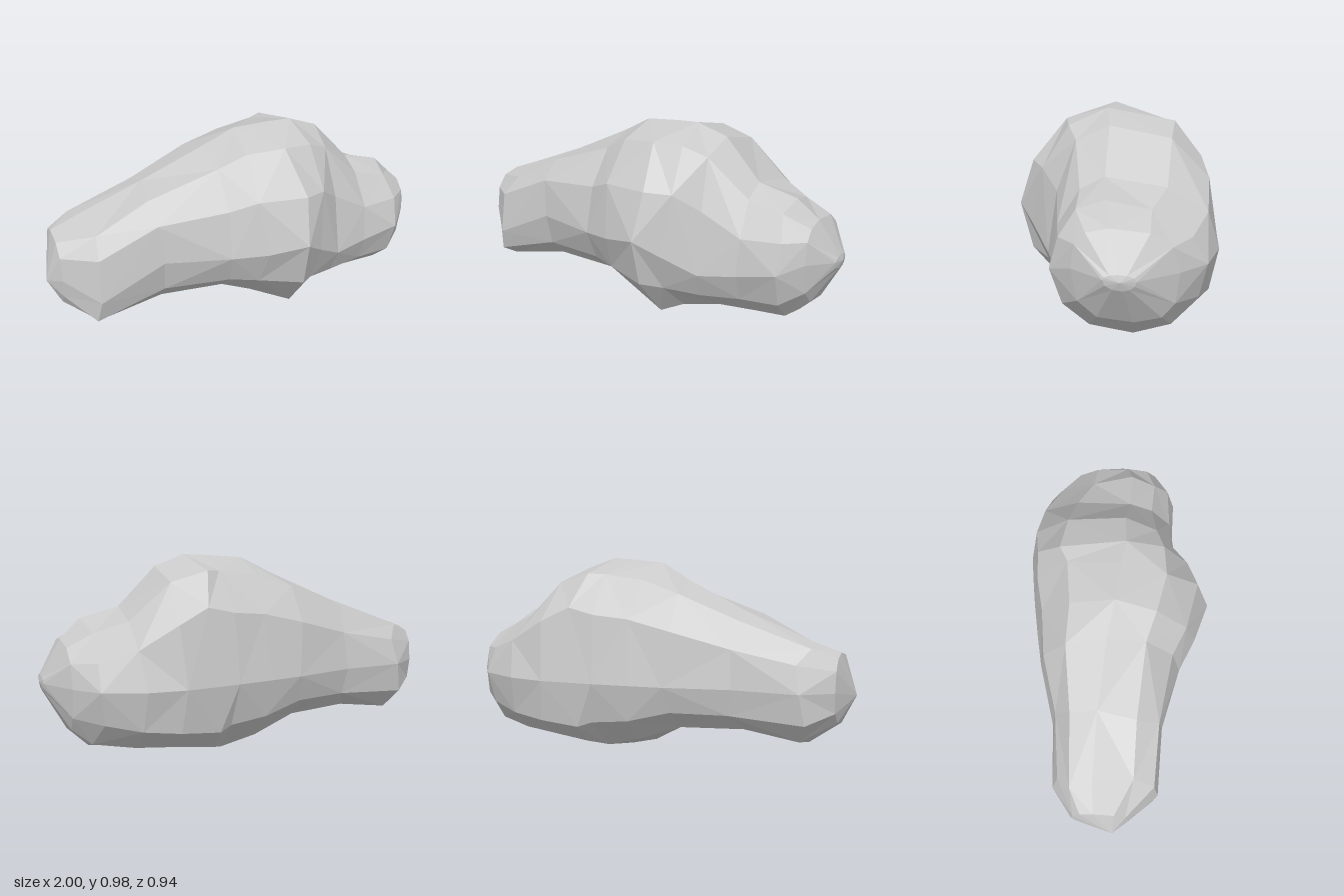
import * as THREE from 'three';

// Cross-sections along x: [x, topY, topZ, frontZ, frontY, bottomY, bottomZ, backZ,
//   then the sharpness of each quarter: front top, front bottom, back bottom, back top]
const SECTIONS = [
  [-0.94, 0.57, -0.06, 0.11, 0.38, 0.23, 0.0, -0.17, 0.8, 0.8, 0.8, 0.8],
  [-0.8, 0.62, -0.07, 0.25, 0.3, 0.13, -0.04, -0.27, 0.7, 0.6, 0.85, 0.85],
  [-0.49, 0.737, -0.06, 0.255, 0.44, 0.17, -0.03, -0.29, 0.7, 0.75, 0.85, 0.85],
  [-0.18, 0.875, -0.03, 0.335, 0.43, 0.155, -0.04, -0.375, 1.0, 1.0, 0.85, 0.9],
  [-0.02, 0.957, 0.0, 0.41, 0.45, 0.065, -0.08, -0.405, 1.0, 1.15, 0.85, 0.9],
  [0.16, 0.97, 0.02, 0.47, 0.485, 0.0, 0.02, -0.435, 1.1, 1.1, 0.95, 0.85],
  [0.27, 0.975, 0.04, 0.4, 0.41, 0.03, -0.08, -0.45, 1.0, 1.05, 0.8, 0.68],
  [0.42, 0.92, 0.03, 0.32, 0.32, 0.07, -0.12, -0.468, 1.0, 1.0, 0.75, 0.85],
  [0.6, 0.73, 0.05, 0.285, 0.34, 0.08, -0.09, -0.455, 1.1, 0.95, 0.85, 0.85],
  [0.79, 0.68, 0.05, 0.285, 0.38, 0.085, -0.07, -0.385, 1.0, 0.95, 0.95, 1.15],
  [0.89, 0.59, 0.03, 0.19, 0.42, 0.18, -0.07, -0.26, 0.7, 0.75, 0.7, 0.8],
  [0.99, 0.43, 0.0, 0.06, 0.41, 0.36, -0.02, -0.08, 1, 1, 1, 1],
];
const BACK_Y = 0.4;
const SIDES = 12;
const QUARTER = SIDES / 4;

function seeded(seed) {
  return () => {
    seed = (seed * 16807) % 2147483647;
    return seed / 2147483647 - 0.5;
  };
}

function ring([x, ty, tz, fz, fy, by, bz, kz, ...power], random) {
  // Extremes in order: top, front, bottom, back
  const ends = [[tz, ty], [fz, fy], [bz, by], [kz, BACK_Y]];
  const points = [];
  for (let k = 0; k < SIDES; k++) {
    const q = Math.floor(k / QUARTER);
    const step = k % QUARTER;
    const a = (step / QUARTER) * Math.PI / 2;
    const from = ends[q], to = ends[(q + 1) % 4];
    const c = Math.pow(Math.cos(a), power[q]);
    const s = Math.pow(Math.sin(a), power[q]);
    // Quarters run between a top/bottom point and a side point
    const center = q % 2 === 0 ? [from[0], to[1]] : [to[0], from[1]];
    const z = center[0] + (from[0] - center[0]) * c + (to[0] - center[0]) * s;
    const y = center[1] + (from[1] - center[1]) * c + (to[1] - center[1]) * s;
    const rough = step === 0 || Math.abs(x) > 0.85 ? 0 : 1;
    points.push(new THREE.Vector3(
      x + random() * 0.06 * rough,
      y + random() * 0.02 * rough,
      z + random() * 0.02 * rough,
    ));
  }
  return points;
}

function rockGeometry() {
  const random = seeded(41);
  const rings = SECTIONS.map((s) => ring(s, random));
  const positions = [];
  const tri = (...corners) => corners.forEach((p) => positions.push(p.x, p.y, p.z));

  // Faceted skin with alternating diagonals
  for (let i = 0; i < rings.length - 1; i++) {
    for (let k = 0; k < SIDES; k++) {
      const n = (k + 1) % SIDES;
      const a = rings[i][k], b = rings[i + 1][k], c = rings[i + 1][n], d = rings[i][n];
      if ((i + k) % 2) {
        tri(a, d, b);
        tri(b, d, c);
      } else {
        tri(a, d, c);
        tri(a, c, b);
      }
    }
  }

  // Blunt ends
  const leftTip = new THREE.Vector3(-1, 0.36, 0.03);
  const rightTip = new THREE.Vector3(1, 0.4, -0.01);
  const last = rings[rings.length - 1];
  for (let k = 0; k < SIDES; k++) {
    const n = (k + 1) % SIDES;
    tri(leftTip, rings[0][n], rings[0][k]);
    tri(rightTip, last[k], last[n]);
  }

  const geometry = new THREE.BufferGeometry();
  geometry.setAttribute('position', new THREE.Float32BufferAttribute(positions, 3));
  geometry.computeVertexNormals();
  return geometry;
}

export function createModel() {
  const stone = new THREE.MeshStandardMaterial({ color: 0xcacaca, flatShading: true });
  stone.name = 'light grey stone';

  const rock = new THREE.Mesh(rockGeometry(), stone);
  rock.name = 'rock';

  const group = new THREE.Group();
  group.name = 'boulder';
  group.add(rock);
  return group;
}
